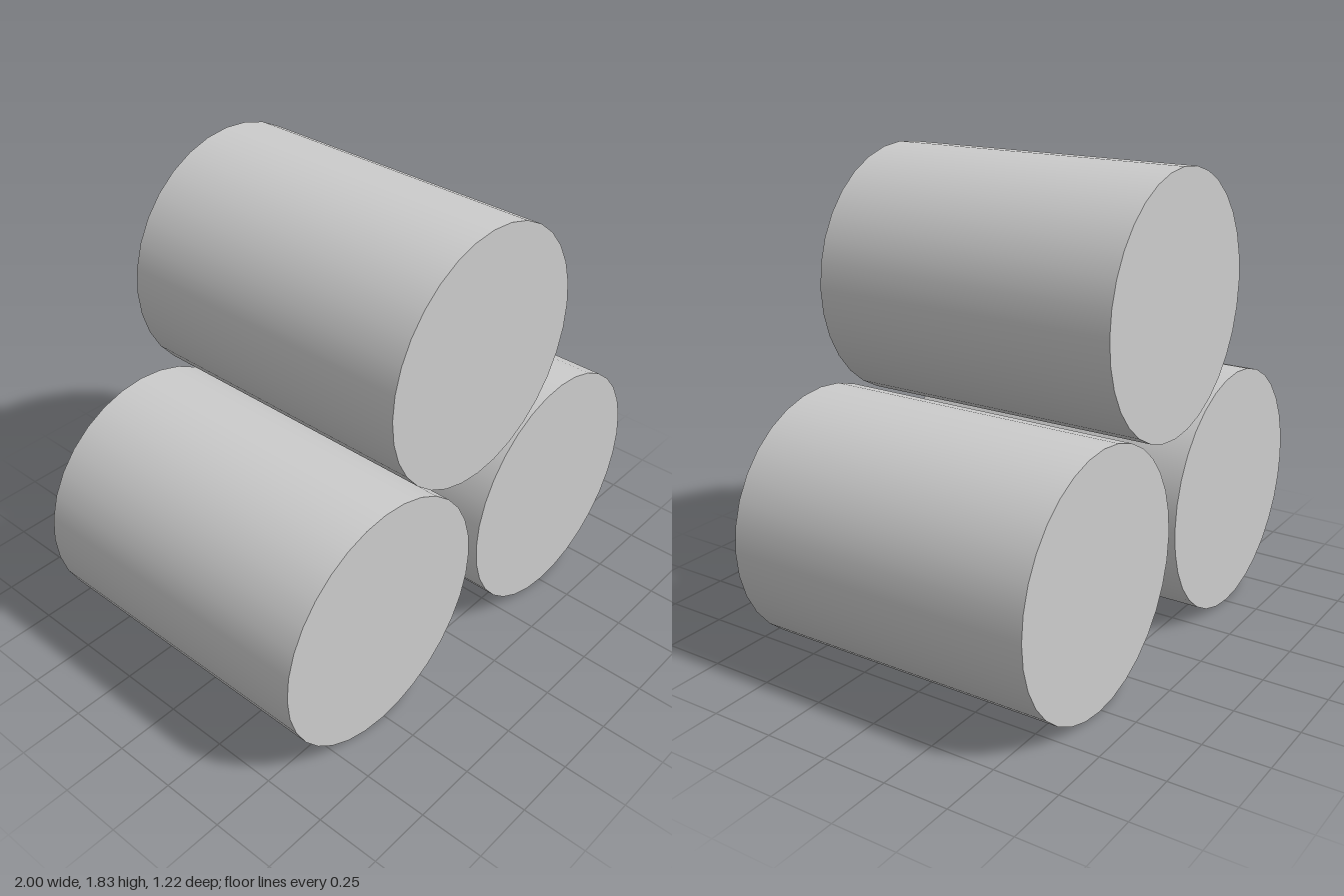
import * as THREE from 'three';

const RADIUS = 0.488;
const LENGTH = 1.222;

export function createModel() {
  const group = new THREE.Group();
  group.name = 'logStack';
  const material = new THREE.MeshStandardMaterial({ color: 0xcccccc });

  // One smooth 32-sided log, laid along z
  const logGeometry = new THREE.CylinderGeometry(RADIUS, RADIUS, LENGTH, 32);
  logGeometry.rotateX(Math.PI / 2);

  // Two logs side by side, with a third resting above the gap
  const logs = [
    ['leftLog', 0.512, RADIUS],
    ['rightLog', -0.512, RADIUS],
    ['topLog', 0, 1.343],
  ];
  for (const [name, x, y] of logs) {
    const log = new THREE.Mesh(logGeometry, material);
    log.name = name;
    log.position.set(x, y, 0);
    group.add(log);
  }
  return group;
}
